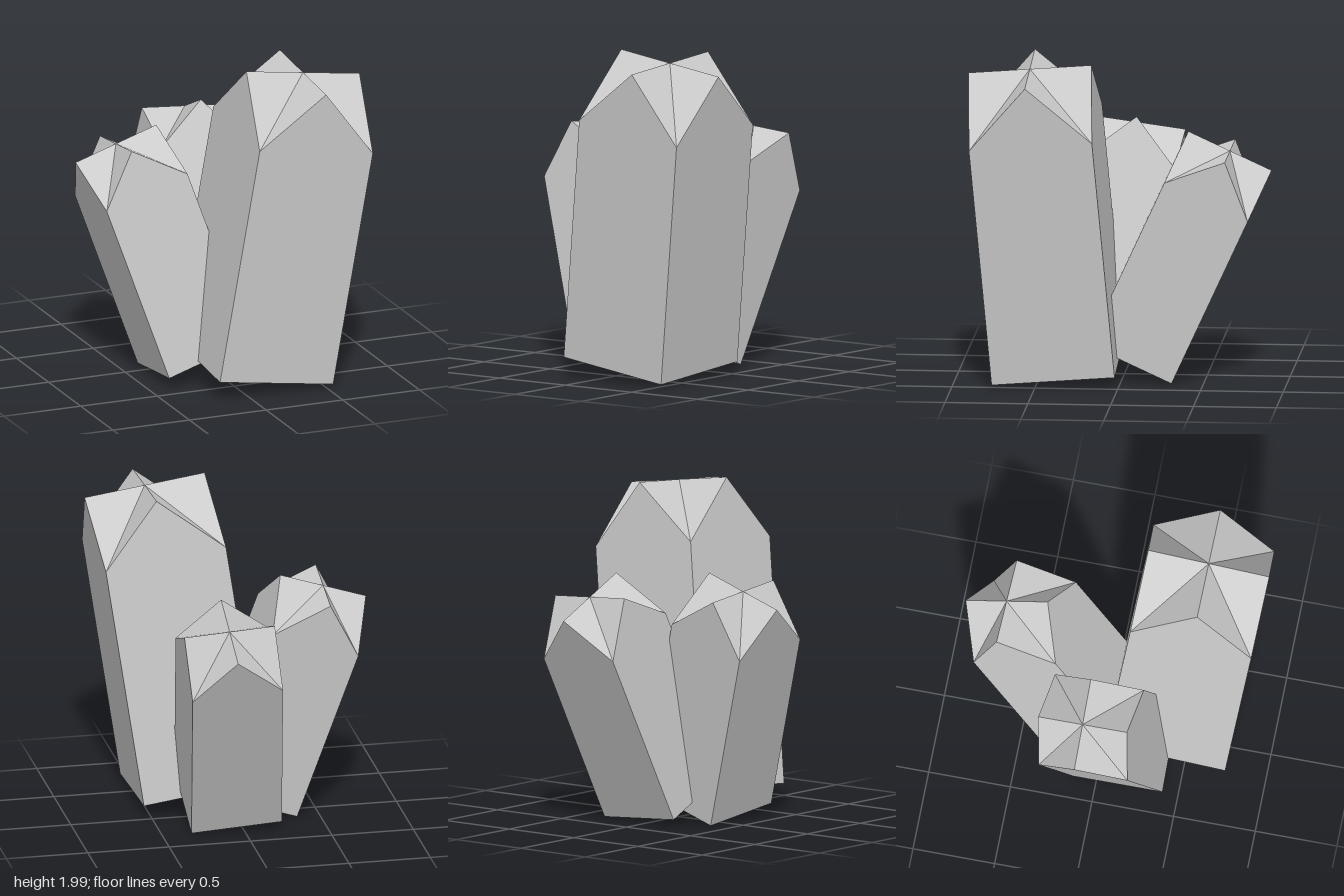
import * as THREE from 'three';

const material = new THREE.MeshStandardMaterial({ color: 0xcccccc, flatShading: true });

// Unit cross-gable cap: four upright gables whose ridges meet level in the middle
function capGeometry() {
  const left = new THREE.Vector3(-0.5, 0, 0.5);
  const right = new THREE.Vector3(0.5, 0, 0.5);
  const peak = new THREE.Vector3(0, 0.5, 0.5);
  const apex = new THREE.Vector3(0, 0.5, 0);
  const side = [left, right, peak, peak, right, apex, peak, apex, left];
  const up = new THREE.Vector3(0, 1, 0);
  const points = [];
  for (let i = 0; i < 4; i++) {
    for (const p of side) points.push(p.clone().applyAxisAngle(up, i * Math.PI / 2));
  }
  const geometry = new THREE.BufferGeometry().setFromPoints(points);
  geometry.computeVertexNormals();
  return geometry;
}

// One leaning square crystal, placed by its ridge crossing and its sideways and forward directions
function crystal(name, { width, height, apex, across, forward }) {
  const x = new THREE.Vector3(...across).normalize();
  const y = new THREE.Vector3(...forward).cross(x).normalize();
  const z = new THREE.Vector3().crossVectors(x, y);

  const group = new THREE.Group();
  group.name = name;
  group.quaternion.setFromRotationMatrix(new THREE.Matrix4().makeBasis(x, y, z));
  group.position.set(...apex).addScaledVector(y, -width / 2);

  const shaft = new THREE.Mesh(new THREE.BoxGeometry(width, height, width), material);
  shaft.name = 'shaft';
  shaft.position.y = -height / 2;

  const cap = new THREE.Mesh(capGeometry().scale(width, width, width), material);
  cap.name = 'cap';

  group.add(shaft, cap);
  return group;
}

export function createModel() {
  const model = new THREE.Group();
  model.name = 'crystalCluster';
  model.add(
    crystal('tallCrystal', {
      width: 0.745, height: 1.49, apex: [0.435, 1.95, 0.535],
      across: [0.74, -0.105, 0], forward: [0, -0.06, 0.74],
    }),
    crystal('sideCrystal', {
      width: 0.553, height: 1.12, apex: [-0.54, 1.445, -0.05],
      across: [0.52, 0.17, 0], forward: [-0.02, 0.07, 0.545],
    }),
    crystal('backCrystal', {
      width: 0.553, height: 1.12, apex: [0.16, 1.415, -0.65],
      across: [0.545, -0.04, 0.018], forward: [0, 0.23, 0.5],
    }),
  );
  return model;
}
